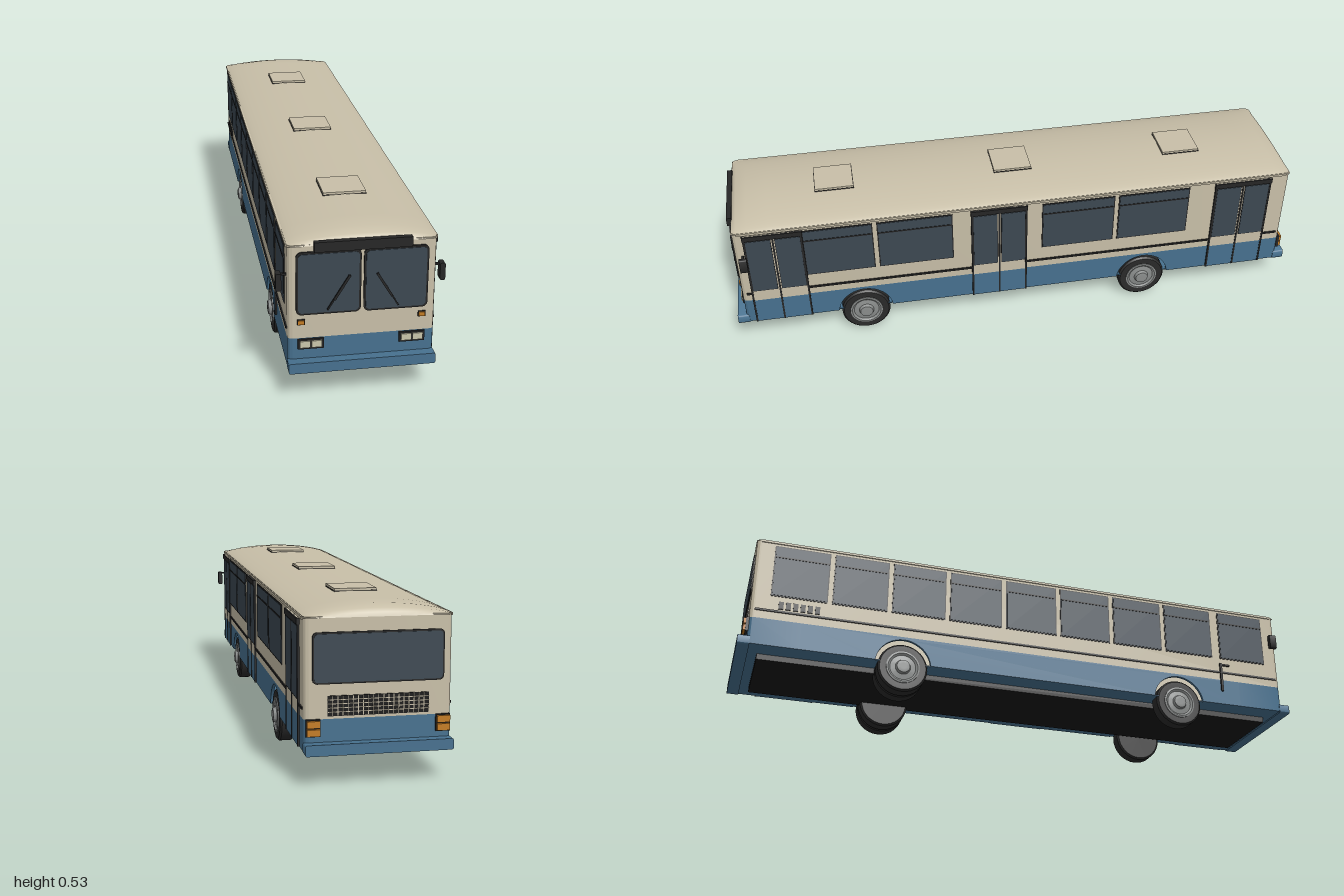
import * as THREE from 'three';
import { toCreasedNormals } from 'three/addons/utils/BufferGeometryUtils.js';

const mat = (name, color, extra = {}) => new THREE.MeshStandardMaterial({ name, color, ...extra });

export function createModel() {
  const bus = new THREE.Group();
  bus.name = 'cityBus';
  const cream = mat('cream paint', 0xc8bfa8, { side: THREE.DoubleSide });
  const blue = mat('blue paint', 0x47718f, { side: THREE.DoubleSide });
  const glass = mat('tinted glass', 0x3c4852);
  const trim = mat('black trim', 0x262626);
  const under = mat('underbody black', 0x171717);
  const rubber = mat('tyre rubber', 0x2a2a2a);
  const steel = mat('wheel steel', 0x8a8d8c);
  const amber = mat('amber lamp', 0xc47c24);
  const lamp = mat('headlamp lens', 0xcbc7ac);

  const W = 0.216, L = 0.97, axles = [0.555, -0.455];

  const add = (name, geo, material, parent = bus) => {
    const m = new THREE.Mesh(geo, material);
    m.name = name;
    parent.add(m);
    return m;
  };
  // Box given by its min/max on each axis
  const box = (name, material, x0, x1, y0, y1, z0, z1, parent = bus) => {
    const g = new THREE.BoxGeometry(Math.abs(x1 - x0), y1 - y0, Math.abs(z1 - z0));
    g.translate((x0 + x1) / 2, (y0 + y1) / 2, (z0 + z1) / 2);
    return add(name, g, material, parent);
  };
  // Thin plate on a side wall (s = +1 left, -1 right) and on an end wall (e = +1 front, -1 back)
  const onSide = (name, material, s, z0, z1, y0, y1, out = 0.003) =>
    box(name, material, s * (W - 0.002), s * (W + out), y0, y1, z0, z1);
  const onEnd = (name, material, e, x0, x1, y0, y1, out = 0.003) =>
    box(name, material, x0, x1, y0, y1, e * (L - 0.002), e * (L + out));

  const roundRect = (x0, x1, y0, y1, r, Type = THREE.Shape) => {
    const s = new Type();
    s.moveTo(x0 + r, y0);
    s.lineTo(x1 - r, y0); s.absarc(x1 - r, y0 + r, r, -Math.PI / 2, 0);
    s.lineTo(x1, y1 - r); s.absarc(x1 - r, y1 - r, r, 0, Math.PI / 2);
    s.lineTo(x0 + r, y1); s.absarc(x0 + r, y1 - r, r, Math.PI / 2, Math.PI);
    s.lineTo(x0, y0 + r); s.absarc(x0 + r, y0 + r, r, Math.PI, Math.PI * 1.5);
    return s;
  };
  const extrude = (shape, depth) =>
    toCreasedNormals(new THREE.ExtrudeGeometry(shape, { depth, bevelEnabled: false, curveSegments: 10 }), 0.6);
  const roundedOnEnd = (name, material, e, x0, x1, y0, y1, r, out) => {
    const m = add(name, extrude(roundRect(x0, x1, y0, y1, r), out), material);
    m.position.z = e > 0 ? L : -L - out;
  };

  // Upper body: hollow ring with rounded corners
  const ring = roundRect(-W, W, -L, L, 0.015);
  ring.holes.push(roundRect(-W + 0.01, W - 0.01, -L + 0.01, L - 0.01, 0.01, THREE.Path));
  add('upperBody', extrude(ring, 0.293).rotateX(-Math.PI / 2).translate(0, 0.195, 0), cream);

  // Lower body: U-shaped ends joined by side skirts with wheel arches
  for (const e of [1, -1]) {
    const u = new THREE.Shape(), r = 0.015;
    u.moveTo(-W, 0.8);
    u.lineTo(-W, L - r); u.absarc(-W + r, L - r, r, Math.PI, Math.PI / 2, true);
    u.lineTo(W - r, L); u.absarc(W - r, L - r, r, Math.PI / 2, 0, true);
    u.lineTo(W, 0.8); u.lineTo(W - 0.01, 0.8); u.lineTo(W - 0.01, L - 0.01);
    u.lineTo(-W + 0.01, L - 0.01); u.lineTo(-W + 0.01, 0.8);
    const m = add(e > 0 ? 'frontSkirt' : 'rearSkirt',
      extrude(u, 0.095).rotateX(Math.PI / 2).translate(0, 0.195, 0), blue);
    if (e < 0) m.rotation.y = Math.PI;
  }
  const skirt = new THREE.Shape();
  skirt.moveTo(-0.8, 0.195);
  skirt.lineTo(-0.8, 0.1);
  for (const z of [...axles].reverse()) {
    const a = Math.asin(0.01 / 0.095);
    skirt.lineTo(z - 0.0945, 0.1);
    skirt.absarc(z, 0.09, 0.095, Math.PI - a, a, true);
  }
  skirt.lineTo(0.8, 0.1);
  skirt.lineTo(0.8, 0.195);
  for (const s of [1, -1]) {
    const g = extrude(skirt, 0.01).rotateY(-Math.PI / 2); // shape x becomes z
    add('sideSkirt', g.translate(s > 0 ? W : -W + 0.01, 0, 0), blue);
  }
  box('floor', blue, -W + 0.005, W - 0.005, 0.1, 0.104, -L + 0.005, L - 0.005);
  box('underbody', under, -0.143, 0.143, 0.08, 0.1, -0.93, 0.93);

  // Arched roof: cross-sections lofted along z, flattened at both ends
  const rows = [[-0.972, 0, 0.985], [-0.968, 0.35, 1], [-0.955, 0.65, 1.005], [-0.92, 0.9, 1.01], [-0.85, 1, 1.01],
    [0.85, 1, 1.01], [0.92, 0.9, 1.01], [0.955, 0.65, 1.005], [0.968, 0.35, 1], [0.972, 0, 0.985]];
  const N = 24, pos = [], idx = [];
  for (const [z, h, w] of rows)
    for (let i = 0; i <= N; i++) {
      const t = -Math.cos((i / N) * Math.PI);
      const lip = 0.008 * Math.sqrt(Math.max(0, 1 - t ** 8));
      pos.push(t * W * w, 0.484 + (lip + 0.027 * (1 - t * t)) * h, z);
    }
  for (let j = 0; j < rows.length - 1; j++)
    for (let i = 0; i < N; i++) {
      const a = j * (N + 1) + i, b = a + N + 1;
      idx.push(a, b, a + 1, b, b + 1, a + 1);
    }
  const roof = new THREE.BufferGeometry();
  roof.setAttribute('position', new THREE.Float32BufferAttribute(pos, 3));
  roof.setIndex(idx);
  roof.computeVertexNormals();
  add('roof', roof, cream);
  for (const s of [1, -1]) onSide('roofGutter', cream, s, -0.955, 0.955, 0.479, 0.487, 0.004);
  for (const z of [-0.61, 0, 0.62]) {
    box('roofHatchSeal', trim, -0.067, 0.067, 0.512, 0.5195, z - 0.067, z + 0.067);
    box('roofHatch', cream, -0.066, 0.066, 0.515, 0.526, z - 0.066, z + 0.066);
  }

  // Side windows with a sliding-sash bar
  const sideWindow = (s, z0, z1) => {
    onSide('windowFrame', trim, s, z0 - 0.004, z1 + 0.004, 0.281, 0.471, 0.002);
    onSide('windowGlass', glass, s, z0, z1, 0.285, 0.467, 0.0035);
    onSide('windowSash', trim, s, z0, z1, 0.426, 0.431, 0.005);
  };
  for (const [z0, z1] of [[0.512, 0.74], [0.24, 0.49], [-0.33, -0.08], [-0.6, -0.352]]) sideWindow(1, z0, z1);
  for (let i = 0; i < 8; i++) sideWindow(-1, -0.905 + i * 0.203, -0.725 + i * 0.203);
  sideWindow(-1, 0.735, 0.91);

  // Double-leaf doors on the left side
  for (const [z0, z1] of [[0.745, 0.935], [-0.02, 0.17], [-0.9, -0.7]]) {
    const mid = (z0 + z1) / 2;
    onSide('doorUpper', cream, 1, z0, z1, 0.195, 0.475, 0.004);
    onSide('doorLower', blue, 1, z0, z1, 0.1, 0.195, 0.004);
    onSide('doorHeader', trim, 1, z0 - 0.004, z1 + 0.004, 0.457, 0.475, 0.009);
    for (const z of [z0, mid, z1]) onSide('doorSeal', trim, 1, z - 0.003, z + 0.003, 0.1, 0.46, 0.006);
    for (const [a, b] of [[z0 + 0.005, mid - 0.008], [mid + 0.008, z1 - 0.005]]) {
      onSide('doorGlassFrame', trim, 1, a - 0.002, b + 0.002, 0.237, 0.456, 0.005);
      onSide('doorGlass', glass, 1, a, b, 0.24, 0.453, 0.0065);
    }
  }

  // Rub strips
  for (const [z0, z1] of [[0.935, 0.955], [0.17, 0.745], [-0.7, -0.02], [-0.955, -0.9]])
    onSide('rubStrip', trim, 1, z0, z1, 0.222, 0.229, 0.004);
  onSide('rubStrip', trim, -1, -0.955, 0.955, 0.222, 0.229, 0.004);

  // Right-side engine vent and driver's side handle
  for (let i = 0; i < 6; i++) onSide('engineVent', trim, -1, -0.88 + i * 0.024, -0.864 + i * 0.024, 0.235, 0.262, 0.004);
  onSide('sideHandle', trim, -1, 0.726, 0.734, 0.15, 0.26, 0.007);
  onSide('sideHandleBar', trim, -1, 0.726, 0.765, 0.252, 0.258, 0.007);

  // Front: split windscreen, sign box, lamps, wipers, mirrors
  onEnd('signBox', trim, 1, -0.141, 0.141, 0.469, 0.499, 0.015);
  for (const s of [1, -1]) {
    const xs = (a, b) => (s > 0 ? [a, b] : [-b, -a]);
    roundedOnEnd('windscreenFrame', trim, 1, ...xs(0.004, 0.192), 0.271, 0.467, 0.016, 0.005);
    roundedOnEnd('windscreenGlass', glass, 1, ...xs(0.01, 0.186), 0.277, 0.461, 0.012, 0.007);
    onEnd('indicator', trim, 1, ...xs(0.166, 0.188), 0.239, 0.256, 0.004);
    onEnd('indicatorLens', amber, 1, ...xs(0.168, 0.186), 0.241, 0.254, 0.007);
    onEnd('headlampFrame', trim, 1, ...xs(0.111, 0.187), 0.161, 0.193, 0.006);
    for (const x of [0.117, 0.151]) onEnd('headlamp', lamp, 1, ...xs(x, x + 0.03), 0.167, 0.188, 0.01);

    const wiper = new THREE.Group();
    wiper.name = 'wiper';
    wiper.position.set(s * 0.071, 0.342, 0.986);
    wiper.rotation.z = s * 0.54;
    box('wiperArm', trim, -0.002, 0.002, -0.062, 0.02, -0.003, 0.003, wiper);
    box('wiperBlade', trim, -0.0035, 0.0035, -0.025, 0.062, 0.001, 0.006, wiper);
    bus.add(wiper);

    box('mirrorArm', trim, s * 0.212, s * 0.235, 0.388, 0.394, 0.941, 0.949);
    const mirror = extrude(roundRect(-0.008, 0.008, -0.027, 0.027, 0.005), 0.026);
    add('mirror', mirror, trim).position.set(s * 0.239, 0.37, 0.932);

    // Rear lamp clusters
    onEnd('tailLampFrame', trim, -1, ...xs(0.169, 0.211), 0.146, 0.196, 0.008);
    for (const y of [0.149, 0.173]) onEnd('tailLamp', amber, -1, ...xs(0.171, 0.209), y, y + 0.02, 0.016);
  }

  // Rear window and engine grille
  roundedOnEnd('rearWindowFrame', trim, -1, -0.192, 0.192, 0.296, 0.444, 0.014, 0.004);
  roundedOnEnd('rearWindowGlass', glass, -1, -0.187, 0.187, 0.301, 0.439, 0.011, 0.006);
  onEnd('grille', under, -1, -0.148, 0.148, 0.203, 0.262, 0.003);
  for (let i = 1; i < 5; i++) onEnd('grilleSlat', cream, -1, -0.148, 0.148, 0.2025 + i * 0.0118, 0.2045 + i * 0.0118, 0.005);
  for (let i = 1; i < 20; i++) {
    const x = -0.148 + i * 0.0148;
    onEnd('grilleBar', cream, -1, x - 0.001, x + 0.001, 0.203, 0.262, 0.0045);
  }

  // Bumpers
  for (const e of [1, -1]) {
    const g = extrude(roundRect(-W - 0.001, W + 0.001, 0.095, 0.128, 0.006), 0.04);
    add(e > 0 ? 'frontBumper' : 'rearBumper', g, blue).position.z = e > 0 ? 0.96 : -1;
  }

  // Wheels: single at the front, twin at the rear
  const lathe = pts => toCreasedNormals(new THREE.LatheGeometry(pts.map(p => new THREE.Vector2(...p)), 32), 0.5)
    .rotateZ(-Math.PI / 2);
  const tyreGeo = lathe([[0, -0.024], [0.079, -0.024], [0.085, -0.019], [0.085, 0.019], [0.079, 0.025], [0.056, 0.025], [0, 0.02]]);
  const rimGeo = lathe([[0.057, 0.02], [0.057, 0.028], [0.051, 0.029], [0.044, 0.024], [0.026, 0.027], [0.022, 0.037], [0.01, 0.039], [0, 0.039]]);
  for (const z of axles)
    for (const s of [1, -1]) {
      const wheel = new THREE.Group();
      wheel.name = z > 0 ? 'frontWheel' : 'rearWheel';
      wheel.position.set(s * 0.187, 0.085, z);
      if (s < 0) wheel.rotation.y = Math.PI;
      add('tyre', tyreGeo, rubber, wheel);
      add('rim', rimGeo, steel, wheel);
      if (z < 0) add('innerTyre', tyreGeo, rubber, wheel).position.x = -0.05;
      bus.add(wheel);
    }
  return bus;
}
